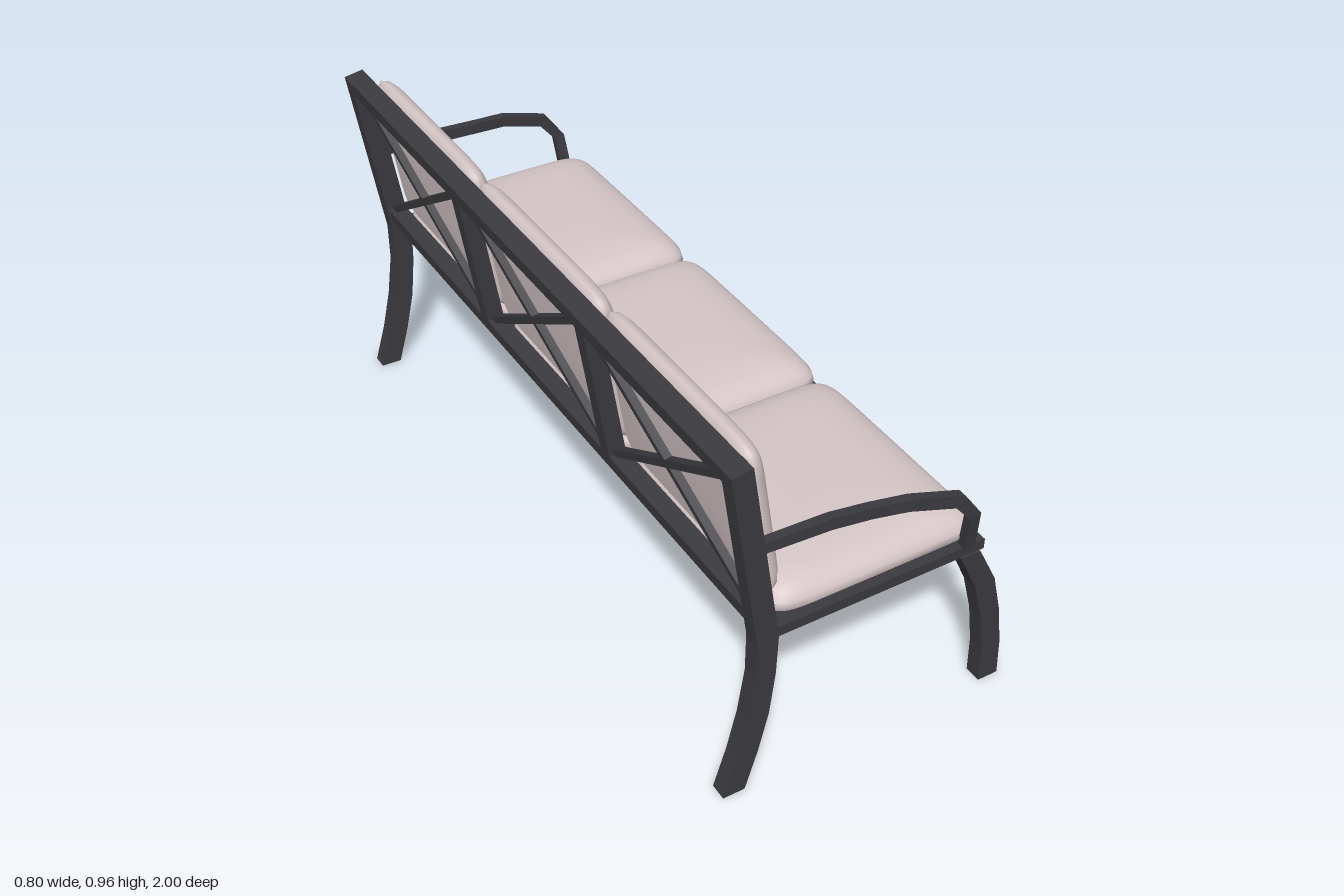
import * as THREE from 'three';

const metal = new THREE.MeshStandardMaterial({ color: 0x3b3a3f, flatShading: true });
metal.name = 'dark metal';
const fabric = new THREE.MeshStandardMaterial({ color: 0xd5c6c7 });
fabric.name = 'pale fabric';

function addMesh(parent, name, geometry, material, x = 0, y = 0, z = 0) {
  const mesh = new THREE.Mesh(geometry, material);
  mesh.name = name;
  mesh.position.set(x, y, z);
  parent.add(mesh);
  return mesh;
}

function finish(positions, index) {
  const g = new THREE.BufferGeometry();
  g.setAttribute('position', new THREE.Float32BufferAttribute(positions, 3));
  g.setIndex(index);
  g.computeVertexNormals();
  return g;
}

// Curved rectangular bar: each section is [ax, ay, bx, by, z], with a and b on its two edges
function barGeometry(sections, width) {
  const pos = [], idx = [], h = width / 2;
  for (const [ax, ay, bx, by, z] of sections) {
    pos.push(ax, ay, z + h, ax, ay, z - h, bx, by, z - h, bx, by, z + h);
  }
  const last = (sections.length - 1) * 4;
  for (let s = 0; s < last; s += 4) {
    for (let k = 0; k < 4; k++) {
      const a = s + k, b = s + (k + 1) % 4;
      idx.push(a, a + 4, b + 4, a, b + 4, b);
    }
  }
  idx.push(0, 1, 2, 0, 2, 3, last, last + 2, last + 1, last, last + 3, last + 2);
  return finish(pos, idx);
}

// Pillow: rounded-rectangle rings following a profile of [inset, height]
function cushionGeometry(width, depth, profile) {
  const n = 64, pos = [], idx = [];
  const round = v => Math.sign(v) * Math.pow(Math.abs(v), 0.2);
  for (const [inset, y] of profile) {
    for (let k = 0; k < n; k++) {
      const t = (k / n) * Math.PI * 2;
      pos.push((width / 2 - inset) * round(Math.cos(t)), y, -(depth / 2 - inset) * round(Math.sin(t)));
    }
  }
  const top = (profile.length - 1) * n, c = profile.length * n;
  pos.push(0, profile[0][1], 0, 0, profile[profile.length - 1][1], 0);
  for (let k = 0; k < n; k++) {
    const k2 = (k + 1) % n;
    for (let r = 0; r < top; r += n) {
      idx.push(r + k, r + k2, r + n + k2, r + k, r + n + k2, r + n + k);
    }
    idx.push(c, k2, k, top + k, top + k2, c + 1);
  }
  return finish(pos, idx);
}

const rearPost = [
  [-0.345, 0.957, -0.398, 0.948], [-0.262, 0.45, -0.318, 0.45], [-0.265, 0.34, -0.318, 0.34],
  [-0.278, 0.22, -0.335, 0.22], [-0.303, 0.11, -0.36, 0.11], [-0.335, 0, -0.393, 0],
];
const frontLeg = [
  [0.29, 0.445, 0.235, 0.445], [0.346, 0.335, 0.29, 0.33], [0.375, 0.22, 0.32, 0.22],
  [0.392, 0.105, 0.337, 0.105], [0.397, 0, 0.34, 0],
];
const armrest = [
  [-0.31, 0.727, -0.31, 0.698, 0.958], [-0.13, 0.722, -0.13, 0.69, 0.96], [-0.03, 0.713, -0.03, 0.682, 0.968],
  [0.068, 0.703, 0.06, 0.672, 0.98], [0.207, 0.66, 0.185, 0.633, 0.988],
  [0.26, 0.587, 0.232, 0.577, 0.987], [0.274, 0.465, 0.243, 0.465, 0.966],
];
const seatProfile = [
  [0.2, 0], [0.04, 0], [0.014, 0.006], [0, 0.018], [0.004, 0.036], [0.016, 0.052],
  [0.035, 0.066], [0.07, 0.077], [0.13, 0.083], [0.22, 0.085],
];
const backProfile = [
  [0.15, 0], [0.03, 0.002], [0.01, 0.01], [0, 0.025], [0.006, 0.042], [0.02, 0.054],
  [0.04, 0.063], [0.08, 0.07], [0.15, 0.073],
];

export function createModel() {
  const bench = new THREE.Group();
  bench.name = 'bench';

  // Seat platform
  addMesh(bench, 'seatPlatform', new THREE.BoxGeometry(0.58, 0.028, 1.95), metal, 0.015, 0.456, 0);

  // End frames
  for (const side of [1, -1]) {
    const tag = side > 0 ? 'Left' : 'Right';
    const at = list => list.map(s => [...s.slice(0, 4), side * (s[4] ?? 0.96)]);
    addMesh(bench, 'rearPost' + tag, barGeometry(at(rearPost), 0.044), metal);
    addMesh(bench, 'frontLeg' + tag, barGeometry(at(frontLeg), 0.044), metal);
    addMesh(bench, 'armrest' + tag, barGeometry(at(armrest), 0.024), metal);
  }

  // Leaning backrest, with its y axis along the posts
  const back = new THREE.Group();
  back.name = 'backrest';
  back.position.set(-0.29, 0.45, 0);
  back.rotation.z = 0.16;
  bench.add(back);
  addMesh(back, 'topRail', new THREE.BoxGeometry(0.053, 0.04, 1.92), metal, 0, 0.488, 0);
  addMesh(back, 'lowerRail', new THREE.BoxGeometry(0.045, 0.04, 1.92), metal, 0, 0.06, 0);
  for (const z of [-0.323, 0.323]) {
    addMesh(back, 'divider', new THREE.BoxGeometry(0.045, 0.41, 0.042), metal, 0, 0.275, z);
  }

  // Three bays, each with cross braces, a seat cushion and a back cushion
  for (const bay of [-1, 0, 1]) {
    for (const slope of [1, -1]) {
      const brace = addMesh(back, 'crossBrace',
        new THREE.BoxGeometry(0.02, 0.02, Math.hypot(0.6, 0.39)), metal, 0, 0.274, bay * 0.633);
      brace.rotation.x = slope * Math.atan2(0.39, 0.6);
    }
    addMesh(bench, 'seatCushion', cushionGeometry(0.58, 0.643, seatProfile), fabric, 0.02, 0.47, bay * 0.642);
    const pad = addMesh(back, 'backCushion',
      cushionGeometry(0.447, bay ? 0.62 : 0.643, backProfile), fabric, 0.025, 0.282, bay * 0.633);
    pad.rotation.z = -Math.PI / 2;
  }
  return bench;
}
